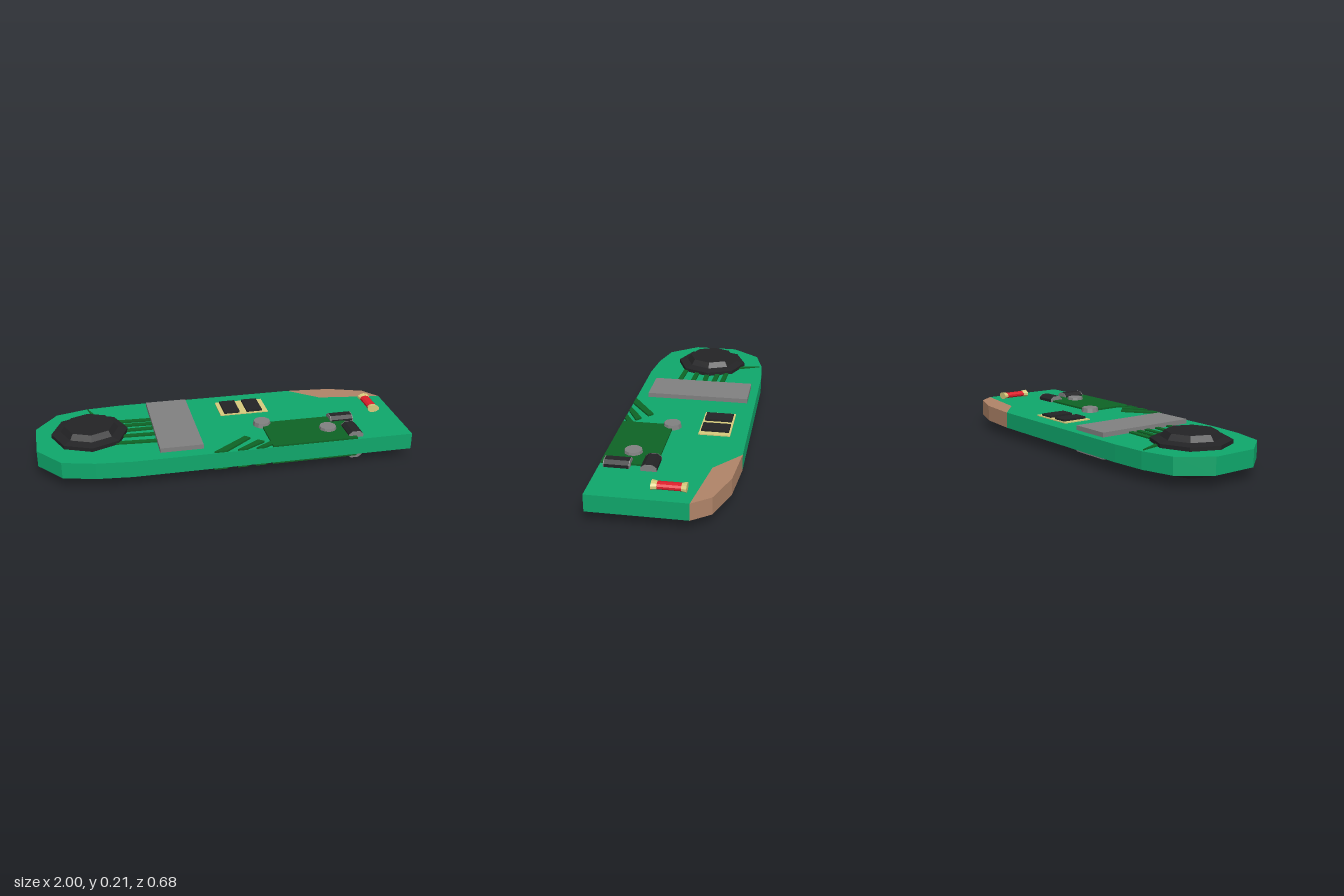
import * as THREE from 'three';

const MID = 0.105;   // middle plane of the board
const TOP = 0.15;    // upper face of the board

const material = (color) => new THREE.MeshStandardMaterial({ color, flatShading: true });
const green = material(0x0fa76b);
const darkGreen = material(0x0e6325);
const black = material(0x232325);
const grey = material(0x808080);
const gold = material(0xd6ca7c);
const red = material(0xdc1f2b);
const copper = material(0xb08468);

function part(name, geometry, mat) {
  const mesh = new THREE.Mesh(geometry, mat);
  mesh.name = name;
  return mesh;
}

// Flat plate from an outline of [x, z] points between two heights
function plate(points, y0, y1) {
  const shape = new THREE.Shape(points.map(([x, z]) => new THREE.Vector2(x, -z)));
  const g = new THREE.ExtrudeGeometry(shape, { depth: y1 - y0, bevelEnabled: false });
  return g.rotateX(-Math.PI / 2).translate(0, y0, 0);
}

function box(x0, x1, y0, y1, z0, z1) {
  return new THREE.BoxGeometry(x1 - x0, y1 - y0, z1 - z0)
    .translate((x0 + x1) / 2, (y0 + y1) / 2, (z0 + z1) / 2);
}

// Copy of a geometry reflected through the middle of the board
function reflected(geometry) {
  const g = geometry.index ? geometry.toNonIndexed() : geometry.clone();
  const p = g.attributes.position;
  const a = new THREE.Vector3(), b = new THREE.Vector3();
  g.scale(1, -1, 1).translate(0, 2 * MID, 0);
  for (let i = 0; i < p.count; i += 3) {
    a.fromBufferAttribute(p, i + 1);
    b.fromBufferAttribute(p, i + 2);
    p.setXYZ(i + 1, b.x, b.y, b.z);
    p.setXYZ(i + 2, a.x, a.y, a.z);
  }
  g.computeVertexNormals();
  return g;
}

// Bevelled block lying along x, dark in the middle with grey end caps
function capacitor(x, z, length, turn) {
  const profile = new THREE.Shape([
    [-0.04, 0], [0.04, 0], [0.04, 0.018], [0.02, 0.034], [-0.02, 0.034], [-0.04, 0.018],
  ].map(([u, v]) => new THREE.Vector2(u, v)));
  const piece = (len, from) => new THREE.ExtrudeGeometry(profile, { depth: len, bevelEnabled: false })
    .translate(0, 0, from).rotateY(turn ? 0 : Math.PI / 2).translate(x, TOP - 0.001, z);
  const cap = 0.004;
  return [
    part('capacitorBody', piece(length - 2 * cap, -length / 2 + cap), black),
    part('capacitorCap', piece(cap, -length / 2), grey),
    part('capacitorCap', piece(cap, length / 2 - cap), grey),
  ];
}

// Components that sit on one face of the board
function faceParts() {
  const parts = [];

  // Eight-sided domed speaker
  const dome = [[0, 0.149], [0.205, 0.149], [0.205, 0.17], [0.155, 0.18], [0.133, 0.21], [0, 0.21]]
    .map(([r, y]) => new THREE.Vector2(r, y));
  parts.push(part('dome', new THREE.LatheGeometry(dome, 8).translate(-0.713, 0, -0.012), black));

  // Large flat chip and the traces that reach it from the dome
  parts.push(part('mainChip', box(-0.37, -0.14, 0.149, 0.175, -0.295, 0.275), grey));
  for (const [za, zb] of [[-0.125, -0.113], [-0.075, -0.063], [-0.01, -0.01], [0.05, 0.062], [0.125, 0.142]]) {
    parts.push(part('trace', plate([[-0.62, za - 0.013], [-0.36, zb - 0.014],
      [-0.36, zb + 0.014], [-0.62, za + 0.013]], 0.149, 0.158), darkGreen));
  }
  parts.push(part('rearTrace', plate([[-0.705, -0.315], [-0.65, -0.19], [-0.68, -0.19]], 0.149, 0.157), darkGreen));

  // Dark panel with diagonal traces beside it
  parts.push(part('panel', plate([[0.222, 0.06], [0.64, 0.06], [0.69, 0.13],
    [0.69, 0.337], [0.222, 0.337]], 0.149, 0.16), darkGreen));
  const diagonals = [
    [[-0.095, 0.337], [-0.025, 0.337], [0.125, 0.22], [0.1, 0.195]],
    [[0.03, 0.337], [0.08, 0.337], [0.19, 0.275], [0.16, 0.25]],
    [[0.13, 0.337], [0.18, 0.337], [0.23, 0.31], [0.23, 0.275]],
  ];
  for (const d of diagonals) parts.push(part('diagonalTrace', plate(d, 0.149, 0.16), darkGreen));

  // Gold pad carrying two small chips
  parts.push(part('goldPad', box(0.027, 0.302, 0.149, 0.156, -0.252, -0.085), gold));
  for (const x of [0.095, 0.225]) {
    parts.push(part('smallChip', box(x - 0.044, x + 0.044, 0.15, 0.167, -0.242, -0.095), black));
  }

  // Round studs
  for (const [x, z] of [[0.228, 0.065], [0.565, 0.2]]) {
    parts.push(part('stud', new THREE.CylinderGeometry(0.045, 0.05, 0.026, 10).translate(x, 0.162, z), grey));
  }

  parts.push(...capacitor(0.672, 0.088, 0.13, false), ...capacitor(0.688, 0.25, 0.132, true));

  // Red resistor with flared gold ends
  const rod = (r0, r1, z0, z1) => new THREE.CylinderGeometry(r1, r0, z1 - z0, 10)
    .rotateX(Math.PI / 2).scale(1, 0.62, 1).translate(0.892, 0.17, (z0 + z1) / 2);
  parts.push(part('resistorBody', rod(0.028, 0.028, -0.11, 0.02), red));
  parts.push(part('resistorEnd', rod(0.028, 0.035, 0.012, 0.04), gold));
  parts.push(part('resistorEnd', rod(0.035, 0.028, -0.128, -0.103), gold));
  return parts;
}

export function createModel() {
  const model = new THREE.Group();
  model.name = 'circuitBoard';

  // Board with a copper corner
  const inner = [0.65, -0.21];
  model.add(part('board', plate([
    [-1, -0.125], [-0.88, -0.282], [-0.71, -0.327], [-0.525, -0.34], [0.49, -0.34], inner,
    [1, -0.157], [1, 0.34], [-0.525, 0.34], [-0.71, 0.322], [-0.88, 0.278], [-1, 0.125],
  ], 0.06, TOP), green));
  model.add(part('copperCorner', plate([
    [0.49, -0.34], [0.74, -0.317], [0.93, -0.25], [1, -0.157], inner,
  ], 0.06, TOP), copper));

  // The same components on both faces
  const upper = new THREE.Group();
  const lower = new THREE.Group();
  upper.name = 'upperFace';
  lower.name = 'lowerFace';
  for (const mesh of faceParts()) {
    upper.add(mesh);
    lower.add(part(mesh.name, reflected(mesh.geometry), mesh.material));
  }
  model.add(upper, lower);
  return model;
}
